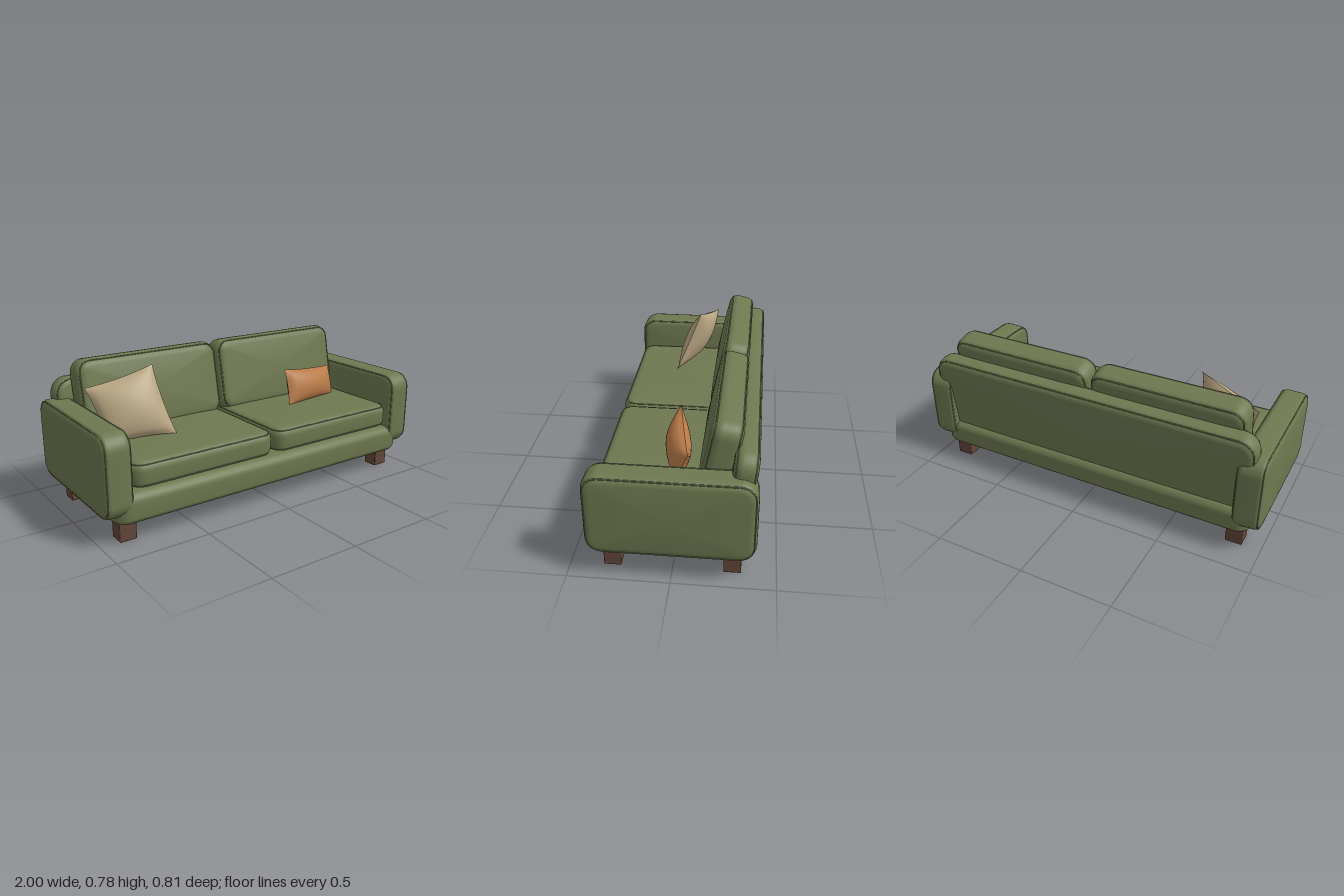
import * as THREE from 'three';
import { mergeGeometries } from 'three/addons/utils/BufferGeometryUtils.js';
import { RoundedBoxGeometry } from 'three/addons/geometries/RoundedBoxGeometry.js';

const material = (name, color) => {
  const m = new THREE.MeshStandardMaterial({ color });
  m.name = name;
  return m;
};

// Points round a rounded rectangle, counter-clockwise, pulled in by an inset
function outline(w, h, R, inset) {
  const pts = [], arc = 8, side = 8, r = R - inset;
  const corners = [[1, -1], [1, 1], [-1, 1], [-1, -1]].map(([sx, sy]) => [sx * (w / 2 - R), sy * (h / 2 - R)]);
  corners.forEach(([cx, cy], k) => {
    for (let i = 0; i <= arc; i++) {
      const a = (k - 1 + i / arc) * Math.PI / 2;
      pts.push(new THREE.Vector2(cx + r * Math.cos(a), cy + r * Math.sin(a)));
    }
    const last = pts[pts.length - 1], [nx, ny] = corners[(k + 1) % 4], a = k * Math.PI / 2;
    const next = new THREE.Vector2(nx + r * Math.cos(a), ny + r * Math.sin(a));
    for (let i = 1; i < side; i++) pts.push(last.clone().lerp(next, i / side));
  });
  return pts;
}

// Upholstered slab: rounded outline in xy, rounded edges, faces swelling along z
function softSlab(w, h, d, R, r, bulge) {
  const rings = [], steps = 6, edge = 10;
  const face = (f, s) => rings.push(outline(w, h, R, r).map(p =>
    new THREE.Vector3(p.x * f, p.y * f, s * (d / 2 + bulge * (1 - f * f)))));
  for (let i = 0; i < steps; i++) face(i / steps, -1);
  for (let i = 0; i <= edge; i++) {
    const a = (i / edge - 0.5) * Math.PI;
    const z = (i / edge < 0.5 ? -1 : 1) * (d / 2 - r) + r * Math.sin(a);
    rings.push(outline(w, h, R, r * (1 - Math.cos(a))).map(p => new THREE.Vector3(p.x, p.y, z)));
  }
  for (let i = steps - 1; i >= 0; i--) face(i / steps, 1);
  const n = rings[0].length, index = [];
  for (let i = 0; i < rings.length - 1; i++) {
    for (let j = 0; j < n; j++) {
      const a = i * n + j, b = i * n + (j + 1) % n;
      if (i > 0) index.push(a, b, a + n);
      if (i < rings.length - 2) index.push(b, b + n, a + n);
    }
  }
  const g = new THREE.BufferGeometry().setFromPoints(rings.flat());
  g.setIndex(index);
  g.computeVertexNormals();
  return g;
}

// Cord sewn along both rounded edges of a slab
function piping(w, h, d, R, r) {
  const k = 0.293 * r;
  return mergeGeometries([-1, 1].map(s => {
    const pts = outline(w, h, R, k).map(p => new THREE.Vector3(p.x, p.y, s * (d / 2 - k)));
    return new THREE.TubeGeometry(new THREE.CatmullRomCurve3(pts, true), 120, 0.004, 6, true);
  }));
}

// Scatter pillow stretched between four corners, pinched along its edges
function pillow(corners, thickness) {
  const [tl, tr, br, bl] = corners.map(c => new THREE.Vector3(...c));
  const normal = tr.clone().sub(bl).cross(tl.clone().sub(br)).normalize();
  const sides = [1, -1].map(s => {
    const g = new THREE.PlaneGeometry(2, 2, 20, 20), p = g.attributes.position;
    for (let i = 0; i < p.count; i++) {
      const u = s * p.getX(i), v = p.getY(i), puff = Math.max(0, (1 - u * u) * (1 - v * v));
      const a = (u * (1 - 0.06 * (1 - v * v)) + 1) / 2, b = (v * (1 - 0.06 * (1 - u * u)) + 1) / 2;
      const q = bl.clone().lerp(br, a).lerp(tl.clone().lerp(tr, a), b);
      q.addScaledVector(normal, s * thickness / 2 * Math.pow(puff, 0.6));
      p.setXYZ(i, q.x, q.y, q.z);
    }
    g.computeVertexNormals();
    return g;
  });
  return mergeGeometries(sides);
}

export function createModel() {
  const sofa = new THREE.Group();
  sofa.name = 'sofa';
  const green = material('olive fabric', 0x6e7850);
  const wood = material('brown wood', 0x62453a);
  const beige = material('beige fabric', 0xb9a683);
  const orange = material('orange fabric', 0xb97b49);

  const add = (parent, name, geometry, mat) => {
    const mesh = new THREE.Mesh(geometry, mat);
    mesh.name = name;
    parent.add(mesh);
    return mesh;
  };
  const upholstery = (name, [w, h, d, R, r, bulge], position, rotation, cord = true) => {
    const group = new THREE.Group();
    group.name = name;
    group.position.set(...position);
    group.rotation.set(...rotation);
    add(group, name + 'Body', softSlab(w, h, d, R, r, bulge), green);
    if (cord) add(group, name + 'Piping', piping(w, h, d, R, r), green);
    sofa.add(group);
  };
  const flat = [-Math.PI / 2, 0, 0];

  // Frame: base and leaning backrest
  upholstery('base', [1.88, 0.785, 0.16, 0.08, 0.05, 0], [0, 0.18, 0.008], flat, false);
  upholstery('backrest', [1.87, 0.54, 0.115, 0.09, 0.045, 0.003], [0, 0.405, -0.315], [-0.1, 0, 0]);

  for (const s of [1, -1]) {
    const side = s > 0 ? 'left' : 'right';
    upholstery(side + 'Arm', [0.805, 0.43, 0.15, 0.085, 0.04, 0.009], [s * 0.916, 0.355, 0.003], [0, Math.PI / 2, 0]);
    upholstery(side + 'SeatCushion', [0.832, 0.65, 0.135, 0.07, 0.045, 0.006], [s * 0.422, 0.335, 0.067], flat);
    upholstery(side + 'BackCushion', [0.845, 0.42, 0.15, 0.075, 0.05, 0.012], [s * 0.428, 0.572, -0.213], [-0.2, 0, 0]);
    // Legs
    for (const [end, z] of [['Front', 0.293], ['Back', -0.288]]) {
      add(sofa, side + end + 'Leg', new RoundedBoxGeometry(0.09, 0.115, 0.085, 2, 0.005), wood)
        .position.set(s * 0.855, 0.0575, z);
    }
  }

  // Scatter pillows: corners top left, top right, bottom right, bottom left
  add(sofa, 'squarePillow', pillow([
    [-0.85, 0.66, -0.1], [-0.51, 0.757, -0.01], [-0.455, 0.41, 0.13], [-0.795, 0.39, 0.03]], 0.13), beige);
  add(sofa, 'lumbarPillow', pillow([
    [0.345, 0.605, 0.015], [0.76, 0.56, -0.06], [0.75, 0.39, 0], [0.337, 0.4, 0.075]], 0.12), orange);

  return sofa;
}
